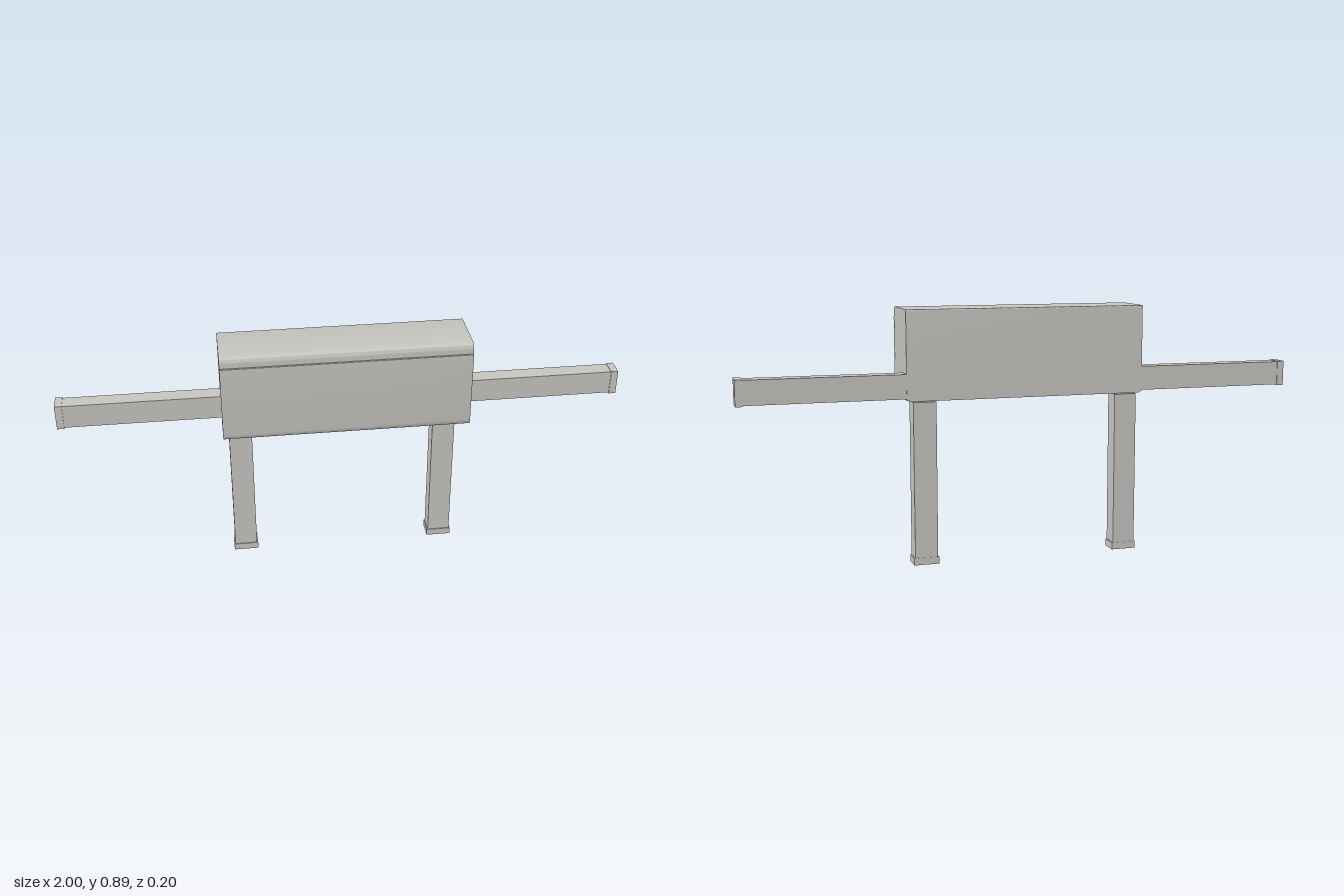
import * as THREE from 'three';
import { toCreasedNormals } from 'three/addons/utils/BufferGeometryUtils.js';

export function createModel() {
  const model = new THREE.Group();
  const grey = new THREE.MeshStandardMaterial({ color: 0xc6c4bf });
  grey.name = 'warm grey';

  const add = (name, geometry) => {
    const mesh = new THREE.Mesh(geometry, grey);
    mesh.name = name;
    model.add(mesh);
  };

  // Box given by its lower and upper corner
  const box = (name, [x0, y0, z0], [x1, y1, z1]) => {
    const g = new THREE.BoxGeometry(x1 - x0, y1 - y0, z1 - z0);
    g.translate((x0 + x1) / 2, (y0 + y1) / 2, (z0 + z1) / 2);
    add(name, g);
  };

  // Side profile (z, y) swept across the width
  const sweep = (name, shape, halfWidth) => {
    const g = new THREE.ExtrudeGeometry(shape, { depth: halfWidth * 2, bevelEnabled: false, curveSegments: 10 });
    g.translate(0, 0, -halfWidth);
    g.rotateY(-Math.PI / 2);
    add(name, toCreasedNormals(g, 0.6));
  };

  // Housing with rounded front edges
  const housing = new THREE.Shape();
  housing.moveTo(-0.1, 0.578);
  housing.lineTo(0.075, 0.578);
  housing.quadraticCurveTo(0.094, 0.578, 0.094, 0.6);
  housing.lineTo(0.094, 0.867);
  housing.quadraticCurveTo(0.094, 0.887, 0.074, 0.887);
  housing.lineTo(-0.096, 0.887);
  housing.quadraticCurveTo(-0.1, 0.887, -0.1, 0.883);
  housing.closePath();
  sweep('housing', housing, 0.43);

  // Thin front cover that curls under the housing
  const cover = new THREE.Shape();
  cover.moveTo(0.096, 0.85);
  cover.lineTo(0.096, 0.598);
  cover.quadraticCurveTo(0.096, 0.576, 0.08, 0.576);
  cover.lineTo(0.08, 0.57);
  cover.quadraticCurveTo(0.102, 0.572, 0.102, 0.598);
  cover.lineTo(0.102, 0.85);
  cover.quadraticCurveTo(0.099, 0.854, 0.096, 0.85);
  sweep('frontCover', cover, 0.43);

  // Bottom plate under the housing
  box('bottomPlate', [-0.42, 0.574, -0.1], [0.42, 0.58, 0.07]);

  for (const s of [-1, 1]) {
    const side = s > 0 ? 'left' : 'right';
    const span = (a, b) => (s > 0 ? [a, b] : [-b, -a]);

    // Arm and its end cap
    const [a0, a1] = span(0.42, 0.975);
    box(side + 'Arm', [a0, 0.583, -0.099], [a1, 0.668, -0.039]);
    const [c0, c1] = span(0.975, 1);
    box(side + 'ArmCap', [c0, 0.58, -0.101], [c1, 0.67, -0.036]);

    // Leg and its foot cap
    const [l0, l1] = span(0.327, 0.408);
    box(side + 'Leg', [l0, 0.024, -0.1], [l1, 0.571, -0.038]);
    const [f0, f1] = span(0.323, 0.412);
    box(side + 'Foot', [f0, 0, -0.101], [f1, 0.025, -0.035]);
  }

  return model;
}
